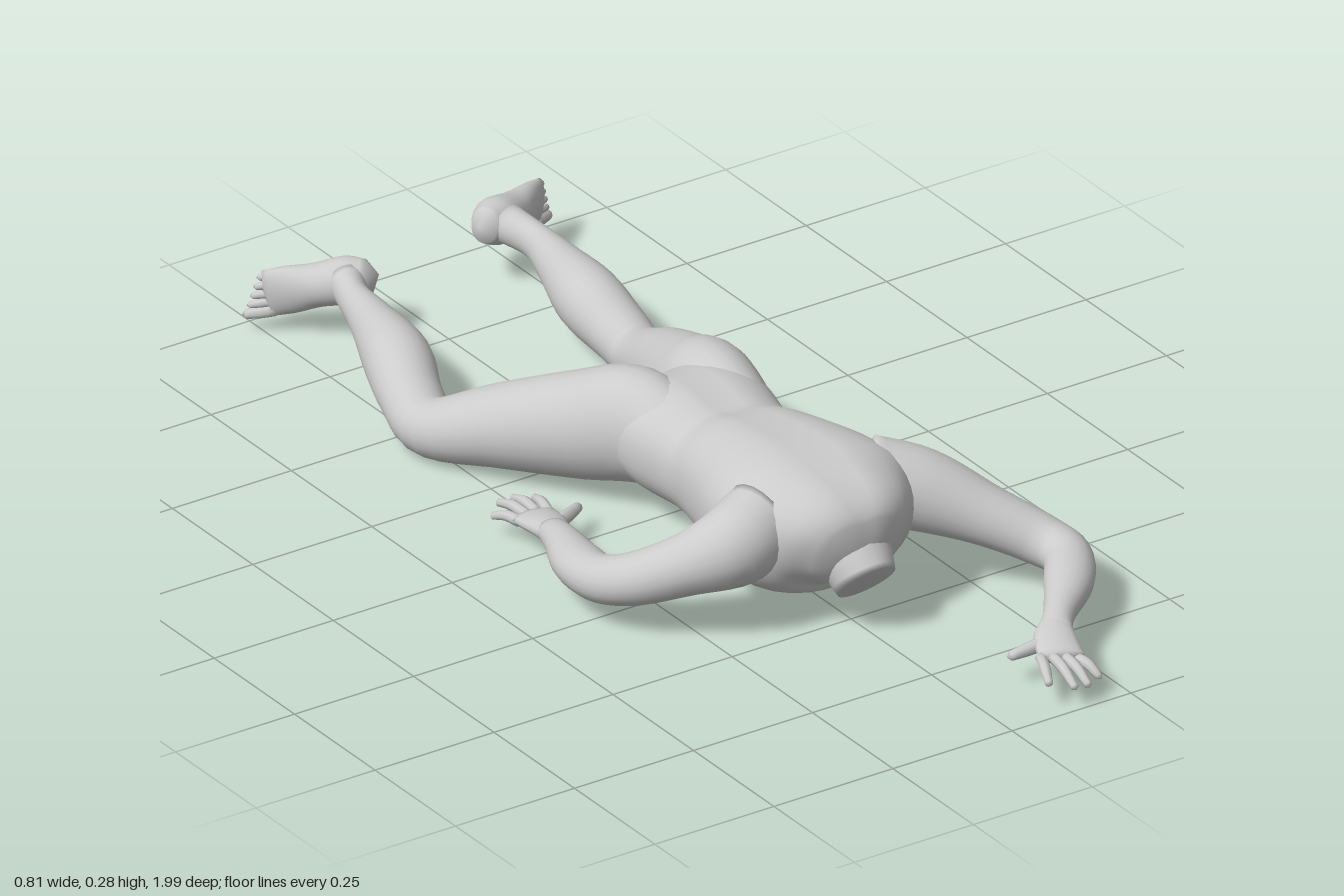
import * as THREE from 'three';

const material = new THREE.MeshStandardMaterial({ color: 0xcccccc });
const UP = new THREE.Vector3(0, 1, 0);

// Smooth closed loft. Each row: x, y, z, half width, half height.
function loft(name, rows, { steps = 5, sides = 20, power = 2, dome = 0.5, rule } = {}) {
  const path = new THREE.CatmullRomCurve3(rows.map(r => new THREE.Vector3(r[0], r[1], r[2])), false, 'catmullrom', 0.5);
  const size = new THREE.CatmullRomCurve3(rows.map(r => new THREE.Vector3(r[3], r[4], 0)), false, 'catmullrom', 0.5);
  const n = (rows.length - 1) * steps;
  const pos = [], idx = [];
  const bend = v => Math.sign(v) * Math.pow(Math.abs(v), 2 / power);
  for (let i = 0; i <= n; i++) {
    const c = path.getPoint(i / n), s = size.getPoint(i / n), t = path.getTangent(i / n);
    const side = new THREE.Vector3().crossVectors(UP, t).normalize();
    const up = new THREE.Vector3().crossVectors(t, side);
    for (let j = 0; j < sides; j++) {
      const a = (j / sides) * Math.PI * 2;
      const p = c.clone().addScaledVector(side, bend(Math.cos(a)) * s.x).addScaledVector(up, bend(Math.sin(a)) * s.y);
      if (rule) rule(p, c);
      pos.push(p.x, p.y, p.z);
    }
  }
  for (let i = 0; i < n; i++) {
    for (let j = 0; j < sides; j++) {
      const a = i * sides + j, b = i * sides + (j + 1) % sides;
      idx.push(a, b, a + sides, b, b + sides, a + sides);
    }
  }
  // Slightly domed end caps
  for (const end of [0, 1]) {
    const r = rows[end ? rows.length - 1 : 0];
    const c = path.getPoint(end).addScaledVector(path.getTangent(end), (end ? 1 : -1) * dome * Math.min(r[3], r[4]));
    const k = pos.length / 3;
    pos.push(c.x, c.y, c.z);
    for (let j = 0; j < sides; j++) {
      const a = end * n * sides + j, b = end * n * sides + (j + 1) % sides;
      if (end) idx.push(k, a, b); else idx.push(k, b, a);
    }
  }
  const g = new THREE.BufferGeometry();
  g.setAttribute('position', new THREE.Float32BufferAttribute(pos, 3));
  g.setIndex(idx);
  g.computeVertexNormals();
  const mesh = new THREE.Mesh(g, material);
  mesh.name = name;
  return mesh;
}

// Thin tapering digit from base to tip with a small arch in the middle
function digit(name, a, b, r, arch = 0.006) {
  const mid = a.map((v, i) => (v + b[i]) / 2 + (i === 1 ? arch : 0));
  return loft(name, [[...a, r, r], [...mid, r * 0.95, r * 0.95], [...b, r * 0.7, r * 0.7]], { steps: 3, sides: 8, dome: 0.9 });
}

function hand(name, palm, bases, tips, thumbBase, thumbTip) {
  const g = new THREE.Group();
  g.name = name;
  g.add(loft('palm', palm, { sides: 16 }));
  tips.forEach((tip, i) => g.add(digit('finger', bases[i], tip, 0.0105)));
  g.add(digit('thumb', thumbBase, thumbTip, 0.013, 0));
  return g;
}

// Foot lying on its edge, with five toes stacked from low (big) to high (little)
function foot(name, heel, toe) {
  const g = new THREE.Group();
  g.name = name;
  const at = t => heel.map((v, i) => v + (toe[i] - v) * t);
  g.add(loft('sole', [
    [...at(-0.08), 0.026, 0.032], [...at(0.12), 0.043, 0.043], [...at(0.4), 0.036, 0.04],
    [...at(0.65), 0.025, 0.045], [...at(0.86), 0.014, 0.045],
  ], { dome: 0.7 }));
  for (let i = 0; i < 5; i++) {
    const a = at(0.8), b = at(1.06 - i * 0.03), h = -0.034 + i * 0.017;
    a[1] += h;
    b[1] += h;
    g.add(digit('toe', a, b, i === 0 ? 0.013 : 0.009, 0));
  }
  return g;
}

export function createModel() {
  const model = new THREE.Group();
  model.name = 'lyingFigure';

  // Torso, with a shallow groove along the spine
  model.add(loft('torso', [
    [0.02, 0.15, -0.13, 0.09, 0.06],
    [0.02, 0.15, -0.08, 0.145, 0.09],
    [0.02, 0.148, 0, 0.15, 0.108],
    [0.02, 0.14, 0.1, 0.133, 0.102],
    [0.012, 0.151, 0.2, 0.147, 0.118],
    [0.005, 0.16, 0.32, 0.178, 0.128],
    [0, 0.165, 0.41, 0.19, 0.124],
    [0, 0.168, 0.48, 0.145, 0.104],
    [0, 0.155, 0.53, 0.085, 0.07],
  ], {
    sides: 40, power: 2.3,
    rule: (p, c) => { if (p.y > c.y) p.y -= 0.007 * Math.exp(-(((p.x - c.x) / 0.025) ** 2)); },
  }));

  // Neck stump, sloping forward and down
  model.add(loft('neck', [
    [0, 0.19, 0.43, 0.11, 0.075], [0, 0.145, 0.5, 0.075, 0.064], [0, 0.1, 0.548, 0.054, 0.06],
  ], { sides: 24, dome: -0.2 }));

  // Left arm reaching forward
  model.add(loft('leftArm', [
    [0.12, 0.19, 0.37, 0.075, 0.08], [0.2, 0.168, 0.425, 0.072, 0.075],
    [0.28, 0.13, 0.505, 0.055, 0.055], [0.345, 0.095, 0.58, 0.047, 0.046],
    [0.356, 0.087, 0.645, 0.045, 0.041], [0.305, 0.085, 0.725, 0.044, 0.036],
    [0.235, 0.08, 0.8, 0.029, 0.027], [0.2, 0.077, 0.84, 0.029, 0.021],
  ]));
  model.add(hand('leftHand', [
    [0.215, 0.078, 0.82, 0.027, 0.021], [0.185, 0.073, 0.86, 0.038, 0.018], [0.165, 0.063, 0.91, 0.041, 0.013],
  ],
  [[0.135, 0.062, 0.89], [0.152, 0.064, 0.905], [0.172, 0.062, 0.915], [0.193, 0.056, 0.92]],
  [[0.105, 0.05, 0.96], [0.14, 0.045, 0.988], [0.168, 0.042, 0.988], [0.203, 0.04, 0.97]],
  [0.17, 0.07, 0.86], [0.097, 0.06, 0.853]));

  // Right arm bent back beside the body
  model.add(loft('rightArm', [
    [-0.12, 0.19, 0.4, 0.075, 0.08], [-0.19, 0.17, 0.415, 0.073, 0.075],
    [-0.265, 0.14, 0.38, 0.058, 0.056], [-0.33, 0.108, 0.325, 0.05, 0.048],
    [-0.362, 0.088, 0.26, 0.045, 0.043], [-0.355, 0.08, 0.18, 0.047, 0.038],
    [-0.328, 0.075, 0.09, 0.034, 0.03], [-0.31, 0.068, 0.03, 0.028, 0.021],
  ]));
  model.add(hand('rightHand', [
    [-0.315, 0.07, 0.05, 0.027, 0.021], [-0.303, 0.063, 0, 0.038, 0.018], [-0.295, 0.055, -0.05, 0.042, 0.013],
  ],
  [[-0.325, 0.053, -0.05], [-0.305, 0.056, -0.06], [-0.284, 0.056, -0.06], [-0.265, 0.052, -0.045]],
  [[-0.343, 0.045, -0.105], [-0.307, 0.045, -0.14], [-0.276, 0.045, -0.14], [-0.245, 0.045, -0.12]],
  [-0.285, 0.06, 0.005], [-0.21, 0.052, -0.038]));

  // Left leg, nearly straight
  model.add(loft('leftLeg', [
    [0.092, 0.148, 0.04, 0.065, 0.085], [0.1, 0.155, -0.07, 0.085, 0.106],
    [0.125, 0.126, -0.17, 0.086, 0.099], [0.162, 0.094, -0.3, 0.071, 0.077],
    [0.187, 0.06, -0.43, 0.052, 0.053], [0.19, 0.073, -0.5, 0.055, 0.054],
    [0.192, 0.095, -0.6, 0.06, 0.062], [0.21, 0.105, -0.72, 0.041, 0.044],
    [0.218, 0.112, -0.8, 0.029, 0.034], [0.205, 0.12, -0.87, 0.034, 0.036],
  ], { sides: 24 }));
  model.add(foot('leftFoot', [0.175, 0.122, -0.885], [0.355, 0.076, -0.978]));

  // Right leg, swung outward and bent at the knee
  model.add(loft('rightLeg', [
    [-0.045, 0.148, 0.04, 0.065, 0.085], [-0.058, 0.155, -0.07, 0.085, 0.106],
    [-0.105, 0.126, -0.17, 0.088, 0.099], [-0.19, 0.094, -0.295, 0.075, 0.077],
    [-0.262, 0.06, -0.41, 0.056, 0.054], [-0.247, 0.073, -0.5, 0.057, 0.054],
    [-0.21, 0.095, -0.6, 0.061, 0.062], [-0.18, 0.105, -0.72, 0.041, 0.044],
    [-0.165, 0.112, -0.8, 0.029, 0.034], [-0.148, 0.12, -0.85, 0.034, 0.036],
  ], { sides: 24 }));
  model.add(foot('rightFoot', [-0.122, 0.122, -0.845], [-0.262, 0.072, -0.972]));

  return model;
}
